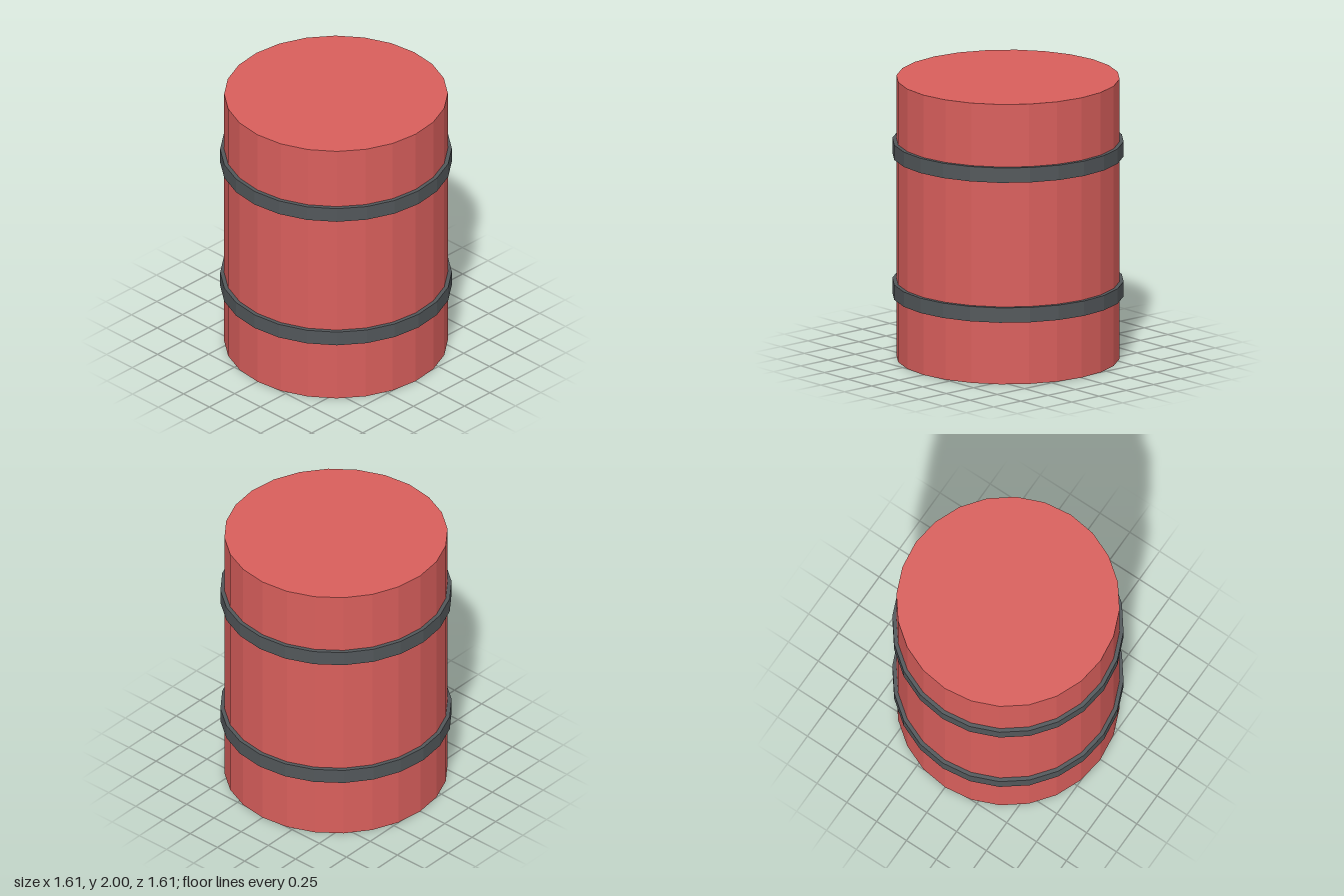
import * as THREE from 'three';

const SIDES = 24;
const BODY_RADIUS = 0.775;
const BAND_RADIUS = 0.803;
const BAND_HALF = 0.053;

export function createModel() {
  const group = new THREE.Group();
  group.name = 'barrel';

  const red = new THREE.MeshStandardMaterial({ color: 0xd95f5c, flatShading: true });
  red.name = 'red paint';
  const grey = new THREE.MeshStandardMaterial({ color: 0x52575a, flatShading: true });
  grey.name = 'dark grey metal';

  // Drum body with closed ends
  const body = new THREE.Mesh(new THREE.CylinderGeometry(BODY_RADIUS, BODY_RADIUS, 2, SIDES), red);
  body.name = 'body';
  body.position.y = 1;
  group.add(body);

  // Two raised hoops, open towards the body
  const profile = [
    new THREE.Vector2(BODY_RADIUS, -BAND_HALF),
    new THREE.Vector2(BAND_RADIUS, -BAND_HALF),
    new THREE.Vector2(BAND_RADIUS, BAND_HALF),
    new THREE.Vector2(BODY_RADIUS, BAND_HALF),
  ];
  const bandGeometry = new THREE.LatheGeometry(profile, SIDES);
  for (const [name, y] of [['lowerBand', 0.5], ['upperBand', 1.5]]) {
    const band = new THREE.Mesh(bandGeometry, grey);
    band.name = name;
    band.position.y = y;
    group.add(band);
  }

  return group;
}
